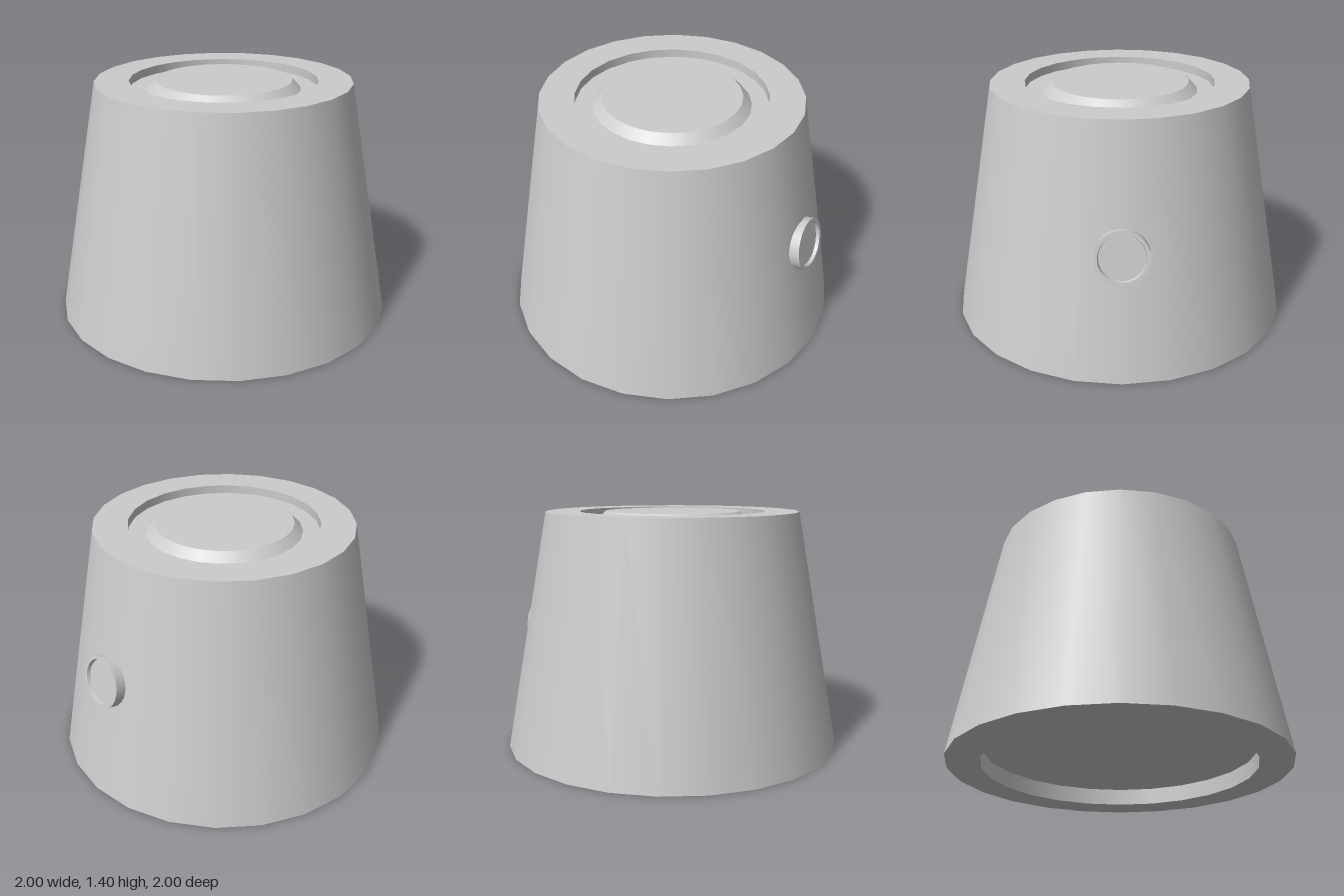
import * as THREE from 'three';
import { mergeGeometries } from 'three/addons/utils/BufferGeometryUtils.js';

const SEGMENTS = 24;
const BASE_R = 1, TOP_R = 0.75, HEIGHT = 1.4;

// Lathe each profile segment on its own so the edges between them stay sharp
function turned(name, profile, material) {
  const points = profile.map(([r, y]) => new THREE.Vector2(r, y));
  const bands = points.slice(1).map((p, i) => new THREE.LatheGeometry([points[i], p], SEGMENTS));
  const mesh = new THREE.Mesh(mergeGeometries(bands), material);
  mesh.name = name;
  return mesh;
}

export function createModel() {
  const model = new THREE.Group();
  model.name = 'taperedBase';
  const grey = new THREE.MeshStandardMaterial({ color: 0xcccccc });

  // Tapered body: recess underneath, sloping side, circular recess on top
  model.add(turned('body', [
    [0, 0.1], [0.8, 0.1], [0.8, 0], [BASE_R, 0],
    [TOP_R, HEIGHT], [0.55, HEIGHT], [0.55, 1.35], [0.45, 1.35],
  ], grey));

  // Raised bevelled disc inside the top recess
  model.add(turned('topDisc', [[0.45, 1.35], [0.4, HEIGHT], [0, HEIGHT]], grey));

  // Round button on the back, square to the sloping side
  const button = new THREE.Group();
  button.name = 'backButton';
  button.add(turned('buttonRing', [
    [0.15, -0.03], [0.15, 0.04], [0.13, 0.04], [0.125, 0.02],
  ], grey));
  button.add(turned('buttonFace', [[0.125, 0.02], [0, 0.02]], grey));
  const slope = Math.atan((BASE_R - TOP_R) / HEIGHT);
  button.position.set(0, HEIGHT / 2, -(BASE_R + TOP_R) / 2);
  button.rotation.x = slope - Math.PI / 2;
  model.add(button);

  return model;
}
